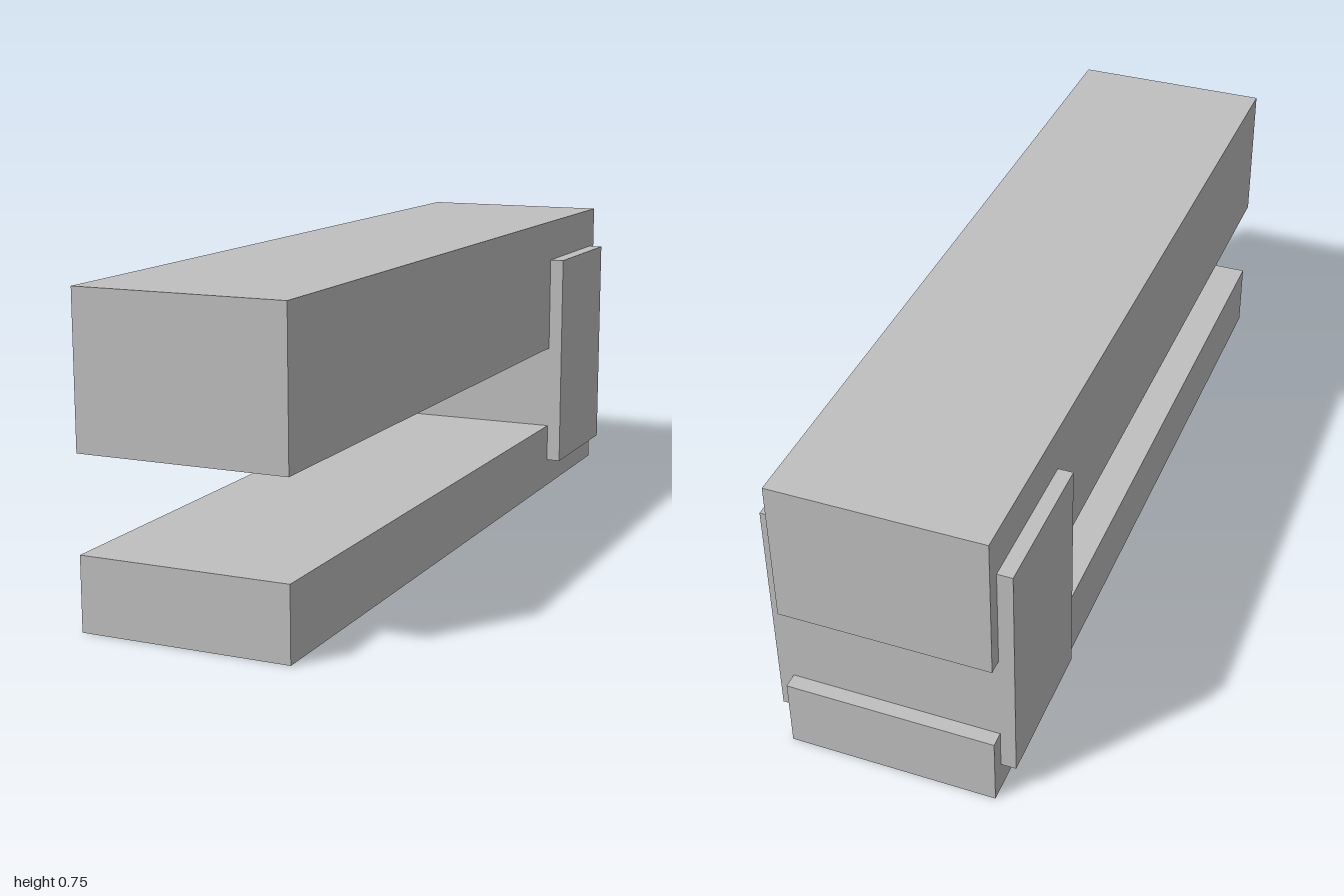
import * as THREE from 'three';

export function createModel() {
  const model = new THREE.Group();
  const grey = new THREE.MeshStandardMaterial({ color: 0xbfbfbf });
  grey.name = 'light grey';

  // Box given by its width and its extents in y and z
  function addBlock(name, width, y0, y1, z0, z1) {
    const mesh = new THREE.Mesh(new THREE.BoxGeometry(width, y1 - y0, z1 - z0), grey);
    mesh.name = name;
    mesh.position.set(0, (y0 + y1) / 2, (z0 + z1) / 2);
    model.add(mesh);
  }

  // Two long bars joined near the back by a wider block
  addBlock('lowerBar', 0.5, 0, 0.173, -1, 1);
  addBlock('upperBar', 0.5, 0.395, 0.75, -1, 1);
  addBlock('connectingBlock', 0.572, 0.074, 0.643, -0.964, -0.607);

  return model;
}
